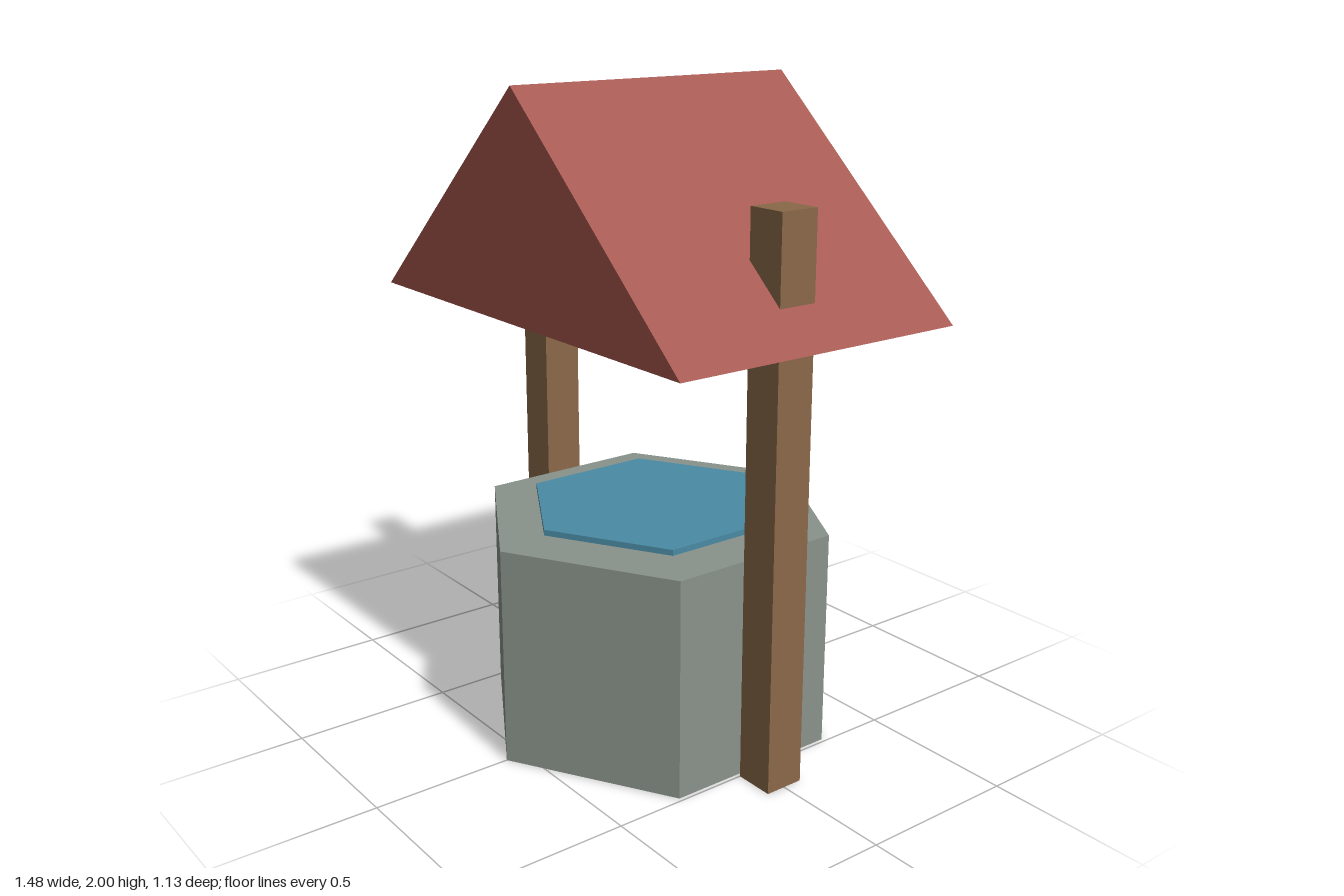
import * as THREE from 'three';

const mat = (name, color) => {
  const m = new THREE.MeshStandardMaterial({ color, flatShading: true });
  m.name = name;
  return m;
};

export function createModel() {
  const stone = mat('stone', 0x8a938b);
  const wood = mat('wood', 0x8a6849);
  const roofRed = mat('roofRed', 0xa3544c);
  const waterBlue = mat('waterBlue', 0x4a8ba4);

  const group = new THREE.Group();
  group.name = 'well';
  const add = (name, geometry, material, x, y, z) => {
    const mesh = new THREE.Mesh(geometry, material);
    mesh.name = name;
    mesh.position.set(x, y, z);
    group.add(mesh);
  };

  // Hexagonal base with corners at front and back
  const baseHeight = 0.68;
  add('stoneBase', new THREE.CylinderGeometry(0.563, 0.563, baseHeight, 6), stone, 0, baseHeight / 2, 0);

  // Thin water disc just above the base
  add('water', new THREE.CylinderGeometry(0.41, 0.41, 0.018, 6), waterBlue, 0, 0.702, 0);

  // Posts that pass up through the roof
  const postHeight = 1.7;
  for (const side of [-1, 1]) {
    add(side > 0 ? 'leftPost' : 'rightPost',
      new THREE.BoxGeometry(0.125, postHeight, 0.125), wood, side * 0.5625, postHeight / 2, 0);
  }

  // Solid gable roof
  const gable = new THREE.Shape([
    new THREE.Vector2(-0.74, 0),
    new THREE.Vector2(0.74, 0),
    new THREE.Vector2(0, 0.66),
  ]);
  const depth = 0.974;
  add('roof', new THREE.ExtrudeGeometry(gable, { depth, bevelEnabled: false }), roofRed, 0, 1.34, -depth / 2);

  return group;
}
